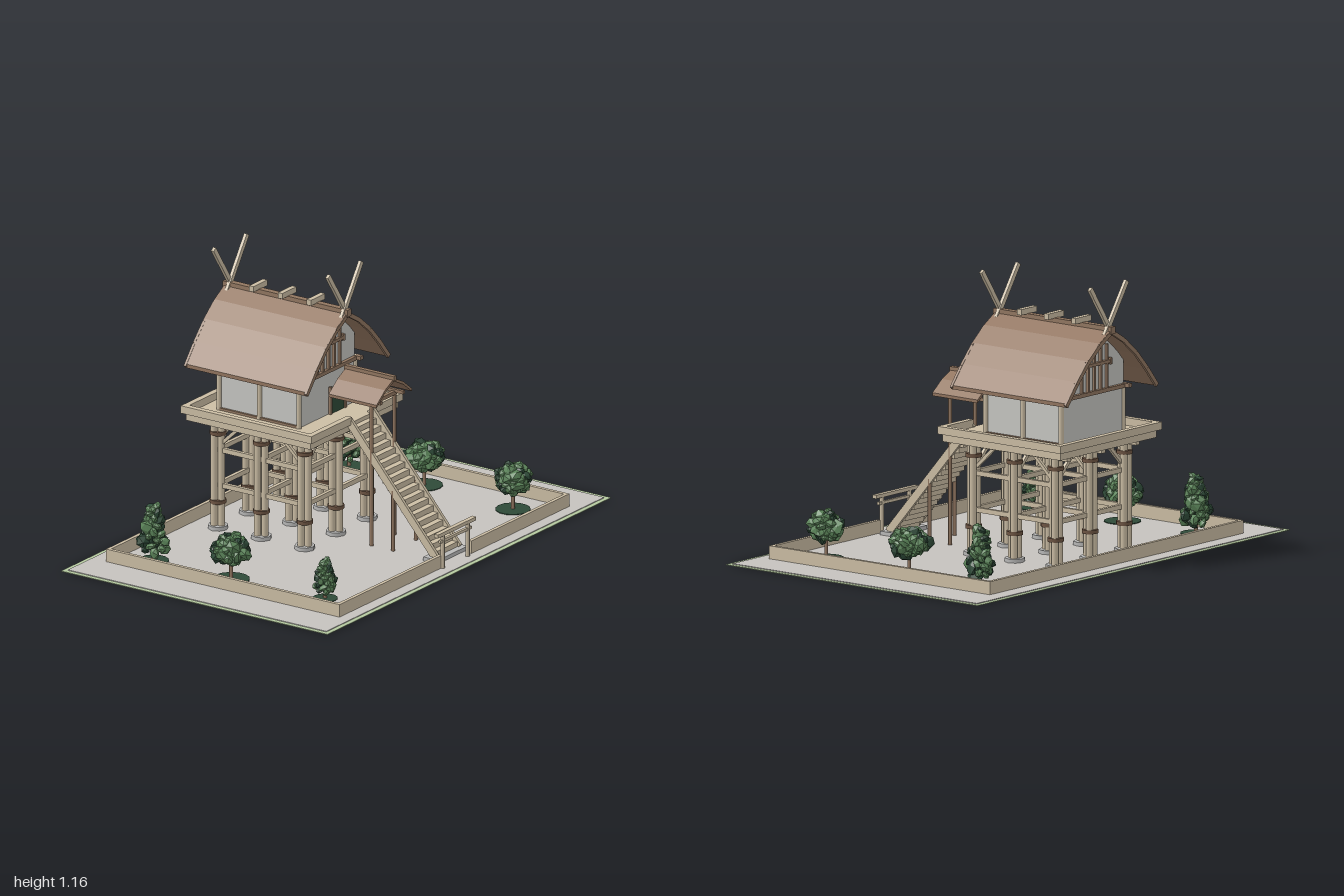
import * as THREE from 'three';
import { mergeGeometries } from 'three/addons/utils/BufferGeometryUtils.js';

const mat = (name, color, flatShading = false) => {
  const m = new THREE.MeshStandardMaterial({ color, flatShading });
  m.name = name;
  return m;
};

export function createModel() {
  const root = new THREE.Group();
  root.name = 'raisedShrine';
  const gravel = mat('gravel', 0xc5c2be), grass = mat('grass', 0xb5c9a0);
  const paleWood = mat('paleWood', 0xcbbda4), brownWood = mat('brownWood', 0x927761);
  const thatch = mat('roofBark', 0x92755f, true), plaster = mat('plaster', 0xc6c6c2);
  const stone = mat('stone', 0xb9b9b8), darkGreen = mat('darkGreen', 0x2e4a38, true);
  const leaf = mat('leafGreen', 0x5b8459, true), band = mat('bindingBand', 0x6f5644);

  const add = (name, geo, m, parent = root) => {
    const mesh = new THREE.Mesh(geo, m);
    mesh.name = name;
    parent.add(mesh);
    return mesh;
  };
  // box given by its limits on each axis
  const box = (name, m, x0, x1, y0, y1, z0, z1, p) => {
    const b = add(name, new THREE.BoxGeometry(x1 - x0, y1 - y0, z1 - z0), m, p);
    b.position.set((x0 + x1) / 2, (y0 + y1) / 2, (z0 + z1) / 2);
    return b;
  };
  // square beam between two points
  const beam = (name, m, a, b, w, h, p) => {
    const A = new THREE.Vector3(...a), B = new THREE.Vector3(...b);
    const o = add(name, new THREE.BoxGeometry(w, h, A.distanceTo(B)), m, p);
    o.position.copy(A).lerp(B, 0.5);
    o.lookAt(B);
    return o;
  };
  const pole = (name, m, x, z, y0, y1, r, sides = 10, p) => {
    const o = add(name, new THREE.CylinderGeometry(r, r, y1 - y0, sides), m, p);
    o.position.set(x, (y0 + y1) / 2, z);
    return o;
  };

  // Ground with a narrow grass margin
  box('grassMargin', grass, -1, 1, 0, 0.003, -0.66, 0.66);
  box('gravelYard', gravel, -0.98, 0.98, 0, 0.006, -0.64, 0.64);
  box('groundUnderside', gravel, -0.995, 0.995, -0.001, 0.001, -0.655, 0.655);

  // Low yard wall with a front opening
  for (const s of [-1, 1]) box('sideWall', paleWood, s * 0.803 - 0.008, s * 0.803 + 0.008, 0, 0.06, -0.57, 0.587);
  box('backWall', paleWood, -0.8, 0.8, 0, 0.06, -0.57, -0.554);
  box('frontWallRight', paleWood, -0.8, -0.09, 0, 0.06, 0.571, 0.587);
  box('frontWallLeft', paleWood, 0.12, 0.8, 0, 0.06, 0.571, 0.587);

  // Gate
  const gate = new THREE.Group();
  gate.name = 'gate';
  root.add(gate);
  for (const s of [-1, 1]) pole('gatePost', paleWood, s * 0.088, 0.59, 0, 0.15, 0.009, 10, gate);
  box('gateTopBar', paleWood, -0.135, 0.135, 0.148, 0.163, 0.58, 0.6, gate);
  box('gateLowerBar', paleWood, -0.11, 0.11, 0.118, 0.13, 0.584, 0.596, gate);

  // Nine bundled columns on stone feet
  const xs = [-0.22, 0, 0.22], zs = [0, -0.215, -0.43];
  for (const x of xs) for (const z of zs) {
    const column = new THREE.Group();
    column.name = 'bundledColumn';
    root.add(column);
    for (let i = 0; i < 3; i++) {
      const a = Math.PI / 2 + i * Math.PI * 2 / 3;
      pole('columnLog', paleWood, x + Math.cos(a) * 0.017, z + Math.sin(a) * 0.017, 0, 0.476, 0.0145, 10, column);
    }
    for (const y of [0.125, 0.42]) pole('columnBand', band, x, z, y - 0.008, y + 0.008, 0.034, 12, column);
    pole('columnFoot', stone, x, z, 0, 0.022, 0.042, 8, column);
  }

  // Tie beams and corner braces between columns
  for (const y of [0.195, 0.347]) {
    for (const x of xs) box('sideTie', paleWood, x - 0.008, x + 0.008, y - 0.01, y + 0.01, -0.43, 0);
    for (const z of zs) box('crossTie', paleWood, -0.22, 0.22, y - 0.01, y + 0.01, z - 0.008, z + 0.008);
  }
  for (const x of xs) {
    beam('sideBrace', paleWood, [x, 0.375, -0.02], [x, 0.475, -0.125], 0.014, 0.014);
    beam('sideBrace', paleWood, [x, 0.375, -0.41], [x, 0.475, -0.305], 0.014, 0.014);
  }
  for (const z of zs) for (const s of [-1, 1])
    beam('crossBrace', paleWood, [s * 0.2, 0.375, z], [s * 0.1, 0.475, z], 0.014, 0.014);

  // Platform with a raised rim, open at the stair
  box('platformFloor', paleWood, -0.308, 0.308, 0.476, 0.508, -0.527, 0.09);
  for (const x of xs) box('floorJoist', paleWood, x - 0.012, x + 0.012, 0.455, 0.476, -0.5, 0.06);
  for (const s of [-1, 1]) box('sideRim', paleWood, s * 0.311 - 0.013, s * 0.311 + 0.013, 0.508, 0.54, -0.542, 0.105);
  box('backRim', paleWood, -0.298, 0.298, 0.508, 0.54, -0.542, -0.516);
  box('frontRimRight', paleWood, -0.298, -0.035, 0.508, 0.54, 0.079, 0.105);
  box('frontRimLeft', paleWood, 0.125, 0.298, 0.508, 0.54, 0.079, 0.105);

  // Curved roof line, half section from ridge to eave
  const section = [[0, 0.975], [0.08, 0.927], [0.155, 0.865], [0.225, 0.79], [0.29, 0.71]];
  const extrudeZ = (pts, z0, z1) => {
    const g = new THREE.ExtrudeGeometry(new THREE.Shape(pts.map(p => new THREE.Vector2(...p))),
      { depth: z1 - z0, bevelEnabled: false });
    return g.translate(0, 0, z0);
  };
  const roofShape = (half, cx, t) => {
    const full = [...half.slice(1).reverse().map(([x, y]) => [-x, y]), ...half];
    return [...full, ...full.map(([x, y]) => [x, y - t]).reverse()].map(([x, y]) => [x + cx, y]);
  };
  add('mainRoof', extrudeZ(roofShape(section, 0, 0.016), -0.545, 0.06), thatch);

  // House body with gabled ends
  add('houseWalls', extrudeZ([[-0.195, 0.5], [0.195, 0.5], [0.195, 0.805], [0.155, 0.848],
    [0.08, 0.91], [0, 0.958], [-0.08, 0.91], [-0.155, 0.848], [-0.195, 0.805]], -0.445, -0.045), plaster);
  for (const s of [-1, 1]) {
    for (const z of [-0.045, -0.24, -0.44]) pole('wallPost', paleWood, s * 0.197, z, 0.508, 0.71, 0.011);
    box('sideSill', brownWood, s * 0.197 - 0.008, s * 0.197 + 0.008, 0.508, 0.518, -0.445, -0.045);
    box('sideWallPlate', brownWood, s * 0.197 - 0.01, s * 0.197 + 0.01, 0.694, 0.71, -0.48, -0.01);
  }
  for (const z of [-0.038, -0.452]) {
    box('gableBeam', brownWood, -0.215, 0.215, 0.692, 0.708, z - 0.008, z + 0.008);
    box('gableRail', brownWood, -0.105, 0.105, 0.81, 0.823, z - 0.009, z + 0.009);
    for (const s of [-1, 1]) box('gableRailEnd', brownWood, s * 0.1 - 0.006, s * 0.1 + 0.006, 0.803, 0.83, z - 0.01, z + 0.01);
    for (const x of [-0.08, -0.04, 0, 0.04, 0.08])
      box('gableStud', brownWood, x - 0.005, x + 0.005, 0.708, 0.93 - Math.abs(x) * 0.5, z - 0.006, z + 0.006);
  }
  for (const z of [0.056, -0.541]) for (const s of [-1, 1]) for (let i = 0; i < 4; i++) {
    const [a, b] = [section[i], section[i + 1]];
    beam('bargeBoard', brownWood, [s * a[0], a[1] - 0.012, z], [s * b[0], b[1] - 0.012, z], 0.012, 0.018);
  }

  // Ridge, billets and crossed finials
  box('ridgeBeam', brownWood, -0.014, 0.014, 0.955, 0.985, -0.552, 0.067);
  for (const z of [-0.1, -0.242, -0.385]) box('ridgeBillet', paleWood, -0.05, 0.05, 0.983, 1.007, z - 0.011, z + 0.011);
  for (const z of [0.042, -0.525]) for (const s of [-1, 1])
    beam('crossedFinial', paleWood, [-s * 0.025, 0.95, z + s * 0.003], [s * 0.113, 1.155, z + s * 0.003], 0.014, 0.02);

  // Door
  const cx = 0.045;
  box('door', darkGreen, 0.02, 0.112, 0.508, 0.618, -0.044, -0.037);
  for (const x of [0.015, 0.116]) box('doorJamb', brownWood, x - 0.006, x + 0.006, 0.508, 0.625, -0.044, -0.032);

  // Porch roof on tall posts
  add('porchRoof', extrudeZ(roofShape([[0, 0.715], [0.065, 0.682], [0.125, 0.635]], cx, 0.013), 0.02, 0.257), thatch);
  box('porchRidge', brownWood, cx - 0.01, cx + 0.01, 0.705, 0.725, 0.015, 0.262);
  box('porchLintel', brownWood, -0.045, 0.135, 0.612, 0.628, 0.193, 0.209);
  for (const x of [-0.035, 0.125]) {
    pole('porchPost', brownWood, x, 0.201, 0, 0.625, 0.008);
    box('porchPlate', brownWood, x - 0.007, x + 0.007, 0.622, 0.636, 0.02, 0.25);
  }

  // Stair with sloping stringers
  const steps = 18;
  for (let i = 0; i < steps; i++) {
    const t = (i + 0.5) / steps, y = 0.03 + t * 0.475, z = 0.515 - t * 0.425;
    box('stairTread', paleWood, -0.03, 0.12, y - 0.024, y, z - 0.015, z + 0.015);
  }
  for (const x of [-0.035, 0.125]) {
    beam('stairStringer', paleWood, [x, 0.02, 0.52], [x, 0.525, 0.085], 0.014, 0.034);
    pole('stairSupport', brownWood, x, 0.308, 0, 0.265, 0.008);
  }
  box('stairBaseStone', stone, -0.062, 0.15, 0, 0.022, 0.475, 0.548);

  // Trees: jagged leaf clumps around a dark core
  let seed = 7;
  const rnd = () => (seed = (seed * 16807) % 2147483647) / 2147483647;
  const clump = (x, y, z, r) => {
    const g = new THREE.IcosahedronGeometry(r, 0);
    g.scale(0.7 + rnd() * 0.6, 0.5 + rnd() * 0.4, 0.7 + rnd() * 0.6);
    g.rotateX(rnd() * 3).rotateY(rnd() * 6).rotateZ(rnd() * 3);
    return g.translate(x, y, z);
  };
  const tree = (x, z, r, base, top, conical) => {
    const g = new THREE.Group();
    g.name = conical ? 'conicalTree' : 'roundTree';
    g.position.set(x, 0, z);
    root.add(g);
    pole('trunk', brownWood, 0, 0, 0, (base + top) / 2, 0.008, 7, g);
    pole('treeBed', darkGreen, 0, 0, 0.004, 0.009, r * 0.85, 14, g);
    const parts = { light: [], dark: [] }, n = 46, h = top - base;
    for (let i = 0; i < n; i++) {
      const t = (i + 0.5) / n, a = i * 2.4;
      const width = conical ? (1 - t * 0.8) * Math.min(1, 0.55 + t * 3) : Math.sin(Math.PI * (0.15 + t * 0.75));
      const d = r * width * (0.55 + rnd() * 0.27), s = r * (0.25 + rnd() * 0.14);
      parts[i % 4 ? 'light' : 'dark'].push(clump(Math.cos(a) * d, base + s * 0.6 + t * (h - s * 1.2), Math.sin(a) * d, s));
    }
    const core = new THREE.IcosahedronGeometry(1, 0).scale(r * 0.5, h * 0.42, r * 0.5);
    parts.dark.push(core.translate(0, base + h * 0.45, 0));
    add('foliage', mergeGeometries(parts.light), leaf, g);
    add('foliageShade', mergeGeometries(parts.dark), darkGreen, g);
  };
  tree(-0.69, -0.42, 0.075, 0.03, 0.255, true);
  tree(0.69, -0.42, 0.075, 0.03, 0.255, true);
  tree(-0.66, 0.41, 0.06, 0.025, 0.18, true);
  tree(-0.69, -0.035, 0.09, 0.075, 0.2, false);
  tree(0.68, -0.04, 0.09, 0.075, 0.195, false);
  tree(0.65, 0.42, 0.085, 0.075, 0.205, false);

  return root;
}
